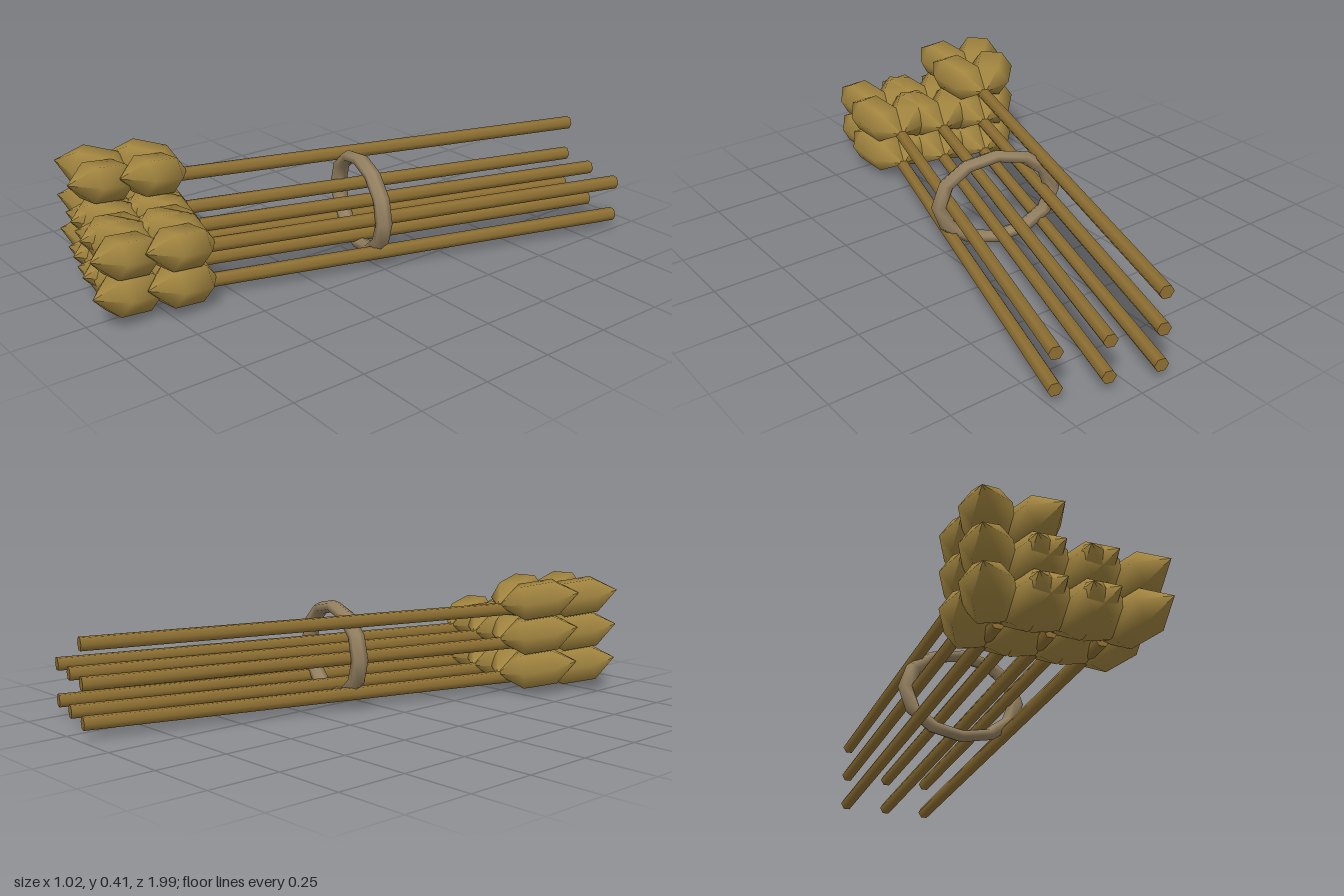
import * as THREE from 'three';

const SPACING = 0.168, ROW = 0.125;      // distance between stalks and between rows
const STALK_BACK = -0.995, HEAD_START = 0.515;
const SPLAY = 0.47, LIFT = 0.17;         // how far the grains lean out and up

// Hexagonal geometry along +z with corners at +x and -x
function alongZ(geometry) {
  return geometry.rotateX(Math.PI / 2);
}

export function createModel() {
  const model = new THREE.Group();
  model.name = 'grainSheaf';
  const grainMat = new THREE.MeshStandardMaterial({ name: 'ripe gold', color: 0xa1843f });
  const stalkMat = new THREE.MeshStandardMaterial({ name: 'straw brown', color: 0x8d6f32 });
  const tieMat = new THREE.MeshStandardMaterial({ name: 'twine', color: 0x958161 });

  // Grain: pointed at both ends, starting at its own origin, slightly flattened
  const profile = [[0, 0], [0.08, 0.085], [0.08, 0.205], [0, 0.29]]
    .map(([r, l]) => new THREE.Vector2(r, l));
  const grainGeo = alongZ(new THREE.LatheGeometry(profile, 6, Math.PI / 6)).scale(1, 0.87, 1);

  // Stalk: six-sided rod reaching into the head
  const length = 0.72 - STALK_BACK;
  const stalkGeo = alongZ(new THREE.CylinderGeometry(0.024, 0.024, length, 6, 1, false, Math.PI / 6));

  function addEar(x, y) {
    const ear = new THREE.Group();
    ear.name = 'ear';
    ear.position.set(x, y, 0);
    const stalk = new THREE.Mesh(stalkGeo, stalkMat);
    stalk.name = 'stalk';
    stalk.position.z = STALK_BACK + length / 2;
    ear.add(stalk);
    // Two pairs of grains, one behind the other
    for (const z of [HEAD_START, HEAD_START + 0.17]) {
      for (const side of [-1, 1]) {
        const grain = new THREE.Mesh(grainGeo, grainMat);
        grain.name = side > 0 ? 'leftGrain' : 'rightGrain';
        grain.position.set(0, 0.012, z);
        grain.rotation.set(-LIFT, side * SPLAY, 0, 'YXZ');
        ear.add(grain);
      }
    }
    model.add(ear);
  }

  // Two full rows of three ears and a single one on top
  for (let row = 0; row < 3; row++) {
    for (let col = 0; col < (row < 2 ? 3 : 1); col++) {
      addEar(0.045 + (col - 1) * SPACING, 0.056 + row * ROW);
    }
  }

  // Oval tie around the stalks
  const tie = new THREE.Mesh(new THREE.TorusGeometry(0.208, 0.029, 6, 12), tieMat);
  tie.name = 'tie';
  tie.scale.y = 0.75;
  tie.position.set(0.045, 0.178, -0.06);
  model.add(tie);

  // The whole sheaf lies at an angle
  model.rotation.y = -0.29;
  const group = new THREE.Group();
  group.add(model);
  return group;
}
